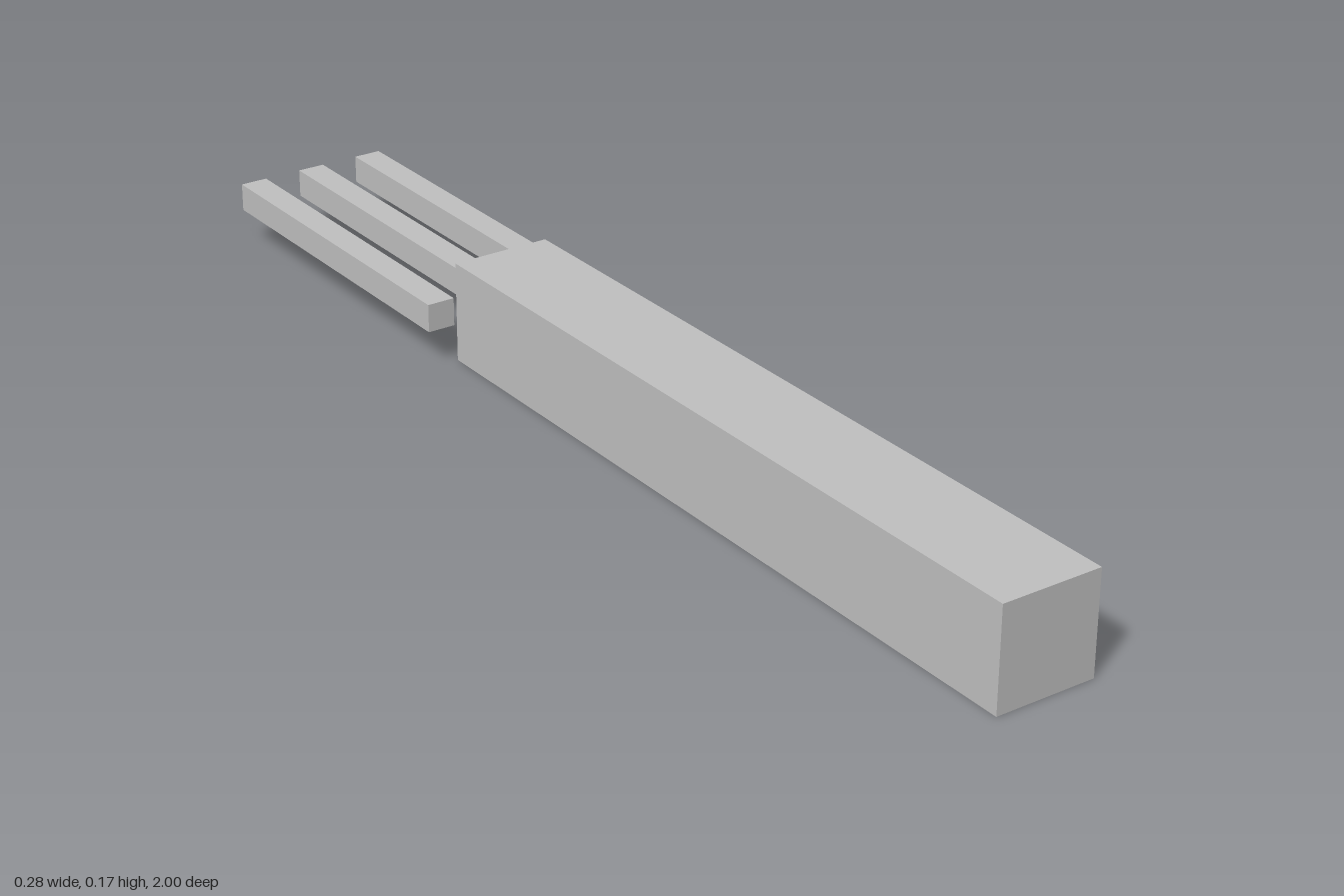
import * as THREE from 'three';

export function createModel() {
  const model = new THREE.Group();
  const grey = new THREE.MeshStandardMaterial({ color: 0xc0c0c0 });
  grey.name = 'light grey';

  const addBox = (name, width, height, zBack, zFront, x, y) => {
    const mesh = new THREE.Mesh(new THREE.BoxGeometry(width, height, zFront - zBack), grey);
    mesh.name = name;
    mesh.position.set(x, y, (zBack + zFront) / 2);
    model.add(mesh);
  };

  // Long square body
  addBox('body', 0.176, 0.175, -0.365, 1, 0, 0.0875);

  // Three parallel pins behind the body
  const pins = { rightPin: -0.117, middlePin: 0, leftPin: 0.117 };
  for (const [name, x] of Object.entries(pins)) {
    addBox(name, 0.049, 0.049, -1, -0.366, x, 0.089);
  }

  return model;
}
